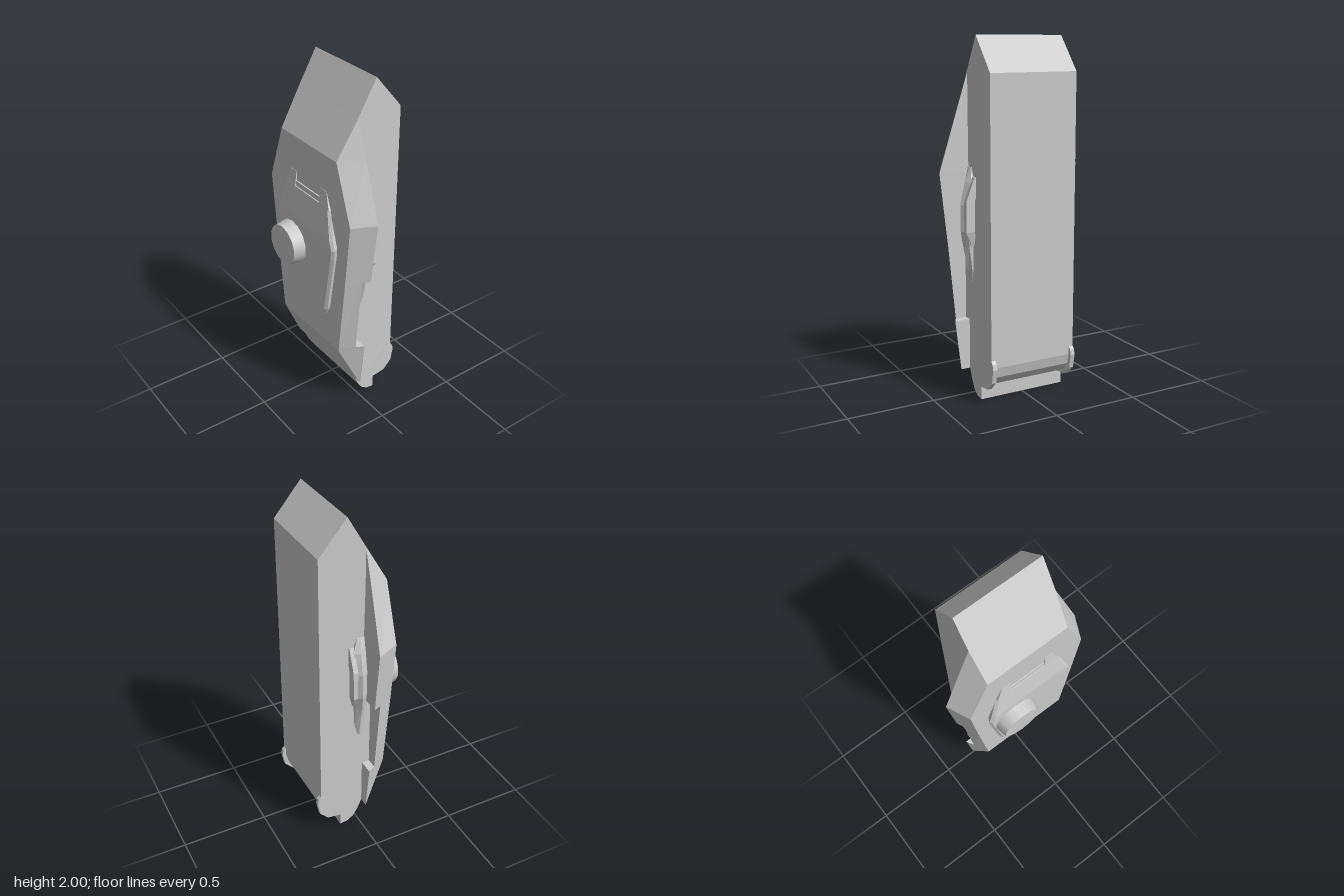
import * as THREE from 'three';

const grey = new THREE.MeshStandardMaterial({ color: 0xcccccc, flatShading: true });
const smoothGrey = new THREE.MeshStandardMaterial({ color: 0xcccccc });

// Skin convex rings, each counter-clockwise seen from the direction of travel.
function loft(rings) {
  const pos = [];
  const tri = (...pts) => pts.forEach((p) => pos.push(...p));
  const n = rings[0].length;
  for (let k = 0; k < rings.length - 1; k++) {
    for (let i = 0; i < n; i++) {
      const j = (i + 1) % n;
      const [a, b, c, d] = [rings[k][i], rings[k][j], rings[k + 1][j], rings[k + 1][i]];
      tri(a, b, c);
      tri(a, c, d);
    }
  }
  const first = rings[0];
  const last = rings[rings.length - 1];
  for (let i = 1; i < n - 1; i++) {
    tri(first[0], first[i + 1], first[i]);
    tri(last[0], last[i], last[i + 1]);
  }
  const g = new THREE.BufferGeometry();
  g.setAttribute('position', new THREE.Float32BufferAttribute(pos, 3));
  g.computeVertexNormals();
  return g;
}

// Mirror lofted rings to either side, keeping the winding right.
const toSide = (rings, s) =>
  s > 0 ? rings : rings.map((r) => r.map(([x, y, z]) => [-x, y, z]).reverse());

// Extrude a side profile given as [z, y], spanning x0 to x1.
function slab(profile, x0, x1) {
  const shape = new THREE.Shape(profile.map(([z, y]) => new THREE.Vector2(z, y)));
  return new THREE.ExtrudeGeometry(shape, { depth: x1 - x0, bevelEnabled: false })
    .rotateY(-Math.PI / 2)
    .translate(x1, 0, 0);
}

export function createModel() {
  const model = new THREE.Group();
  const add = (name, geometry, material = grey) => {
    const mesh = new THREE.Mesh(geometry, material);
    mesh.name = name;
    model.add(mesh);
    return mesh;
  };

  // Main hull: long box with a wedge at the top and a curved lower end
  add('hull', slab([
    [-0.08, 2], [-0.24, 1.81], [-0.24, 0.22], [-0.225, 0.16], [-0.185, 0.11], [-0.115, 0.078],
    [-0.115, 0], [-0.07, 0.005], [-0.03, 0.03], [0, 0.08], [0.03, 0.15],
    [0.1, 0.45], [0.1, 1.5], [0.03, 1.81],
  ], -0.26, 0.26));

  // Armour deck with flared sides: [y, outer x, outer z, front x, front z]
  const deck = [
    [0.14, 0.315, 0.025, 0.31, 0.03],
    [0.41, 0.347, 0.025, 0.275, 0.155],
    [0.43, 0.35, 0.025, 0.278, 0.155],
    [0.43, 0.325, 0.07, 0.278, 0.155],
    [0.9, 0.37, 0.07, 0.332, 0.155],
    [0.9, 0.39, 0.025, 0.332, 0.155],
    [1.27, 0.432, 0.022, 0.37, 0.155],
    [1.6, 0.327, 0.025, 0.25, 0.155],
    [1.81, 0.26, 0.025, 0.26, 0.03],
  ];
  add('armourDeck', loft(deck.map(([y, xo, zo, xf, zf]) =>
    [[xo, y, zo], [-xo, y, zo], [-xf, y, zf], [xf, y, zf]])));

  // Turret plate, undercut below its rim: [y, half width, front z]
  const turret = [
    [0.615, 0.15, 0.19], [0.63, 0.185, 0.195], [0.67, 0.205, 0.195], [1.03, 0.268, 0.195],
    [1.09, 0.274, 0.195], [1.14, 0.257, 0.194], [1.2, 0.237, 0.185], [1.27, 0.215, 0.174],
    [1.31, 0.2, 0.168],
  ];
  add('turret', loft(turret.map(([y, x, z]) => {
    const rim = z - 0.014;
    return [[x * 0.94, y, 0.15], [-x * 0.94, y, 0.15], [-x, y, rim],
      [-x + 0.014, y, z], [x - 0.014, y, z], [x, y, rim]];
  })));

  // Low bar between the turret prongs
  add('turretBar', new THREE.BoxGeometry(0.23, 0.035, 0.012).translate(0, 1.323, 0.156));

  // Round cupola, set off-centre
  const cupola = new THREE.CylinderGeometry(0.118, 0.132, 0.075, 14).rotateX(Math.PI / 2);
  add('cupola', cupola, smoothGrey).position.set(-0.108, 0.97, 0.227);

  for (const s of [1, -1]) {
    const side = s > 0 ? 'left' : 'right';

    // Tapering prong at the top of the turret
    const prong = [[1.3, 0.204, 0.17], [1.34, 0.187, 0.164], [1.395, 0.165, 0.157]];
    add(side + 'TurretProng', loft(toSide(prong.map(([y, x, z]) =>
      [[x, y, 0.15], [0.112, y, 0.15], [0.112, y, z], [x, y, z]]), s)));

    // Faceted blister on the hull side: [y, outer x, shoulder x, back z]
    const blister = [
      [0.65, 0.263, 0.261, -0.005], [0.72, 0.28, 0.265, -0.028], [0.86, 0.31, 0.285, -0.035],
      [0.95, 0.328, 0.3, -0.05], [1.1, 0.33, 0.3, -0.055], [1.22, 0.3, 0.28, -0.05],
      [1.3, 0.268, 0.262, -0.02],
    ];
    add(side + 'Blister', loft(toSide(blister.map(([y, xo, xs, zb]) =>
      [[xo, y, (zb + 0.02) / 2], [xs, y, zb], [0.25, y, zb], [0.25, y, 0.025], [xs, y, 0.025]]), s)));

    // Thin fin along the back of the blister
    const fin = [[0.87, 0.275, -0.045], [0.95, 0.318, -0.064], [1.12, 0.318, -0.068], [1.25, 0.268, -0.068]];
    add(side + 'BlisterFin', loft(toSide(fin.map(([y, x, z]) =>
      [[x, y, z], [x - 0.05, y, z], [x - 0.05, y, -0.03], [x, y, -0.04]]), s)));

    // Hooked bracket at the lower back corner
    const x0 = s > 0 ? 0.235 : -0.261;
    add(side + 'Bracket', slab([
      [-0.2, 0.25], [-0.24, 0.265], [-0.255, 0.25], [-0.262, 0.22], [-0.247, 0.14],
      [-0.195, 0.087], [-0.115, 0.076], [-0.115, 0.12],
    ], x0, x0 + 0.026));
  }

  return model;
}
